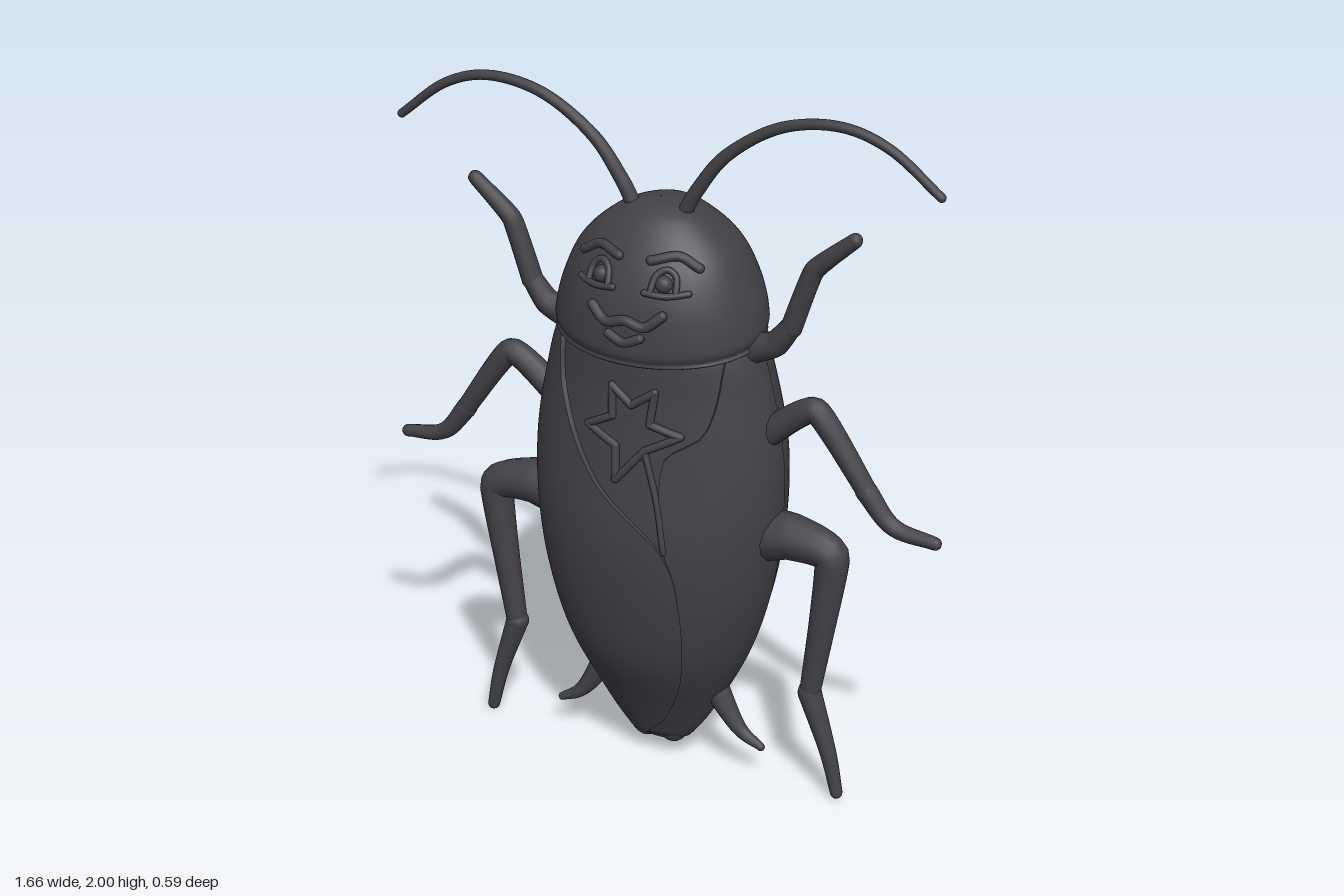
import * as THREE from 'three';
import { mergeVertices, toCreasedNormals } from 'three/addons/utils/BufferGeometryUtils.js';

const shell = new THREE.MeshStandardMaterial({ color: 0x424147, side: THREE.DoubleSide });
shell.name = 'charcoal shell';

// Smooth lookup through rows [key, v1, v2, ...] sorted by falling key
function lookup(rows, y, c) {
  const n = rows.length - 1;
  if (y >= rows[0][0]) return rows[0][c];
  if (y <= rows[n][0]) return rows[n][c];
  let i = 0;
  while (y < rows[i + 1][0]) i++;
  const slope = (k) => {
    const a = rows[Math.max(k - 1, 0)], b = rows[Math.min(k + 1, n)];
    return (b[c] - a[c]) / (b[0] - a[0]);
  };
  const [p, q] = [rows[i], rows[i + 1]], h = q[0] - p[0], s = (y - p[0]) / h;
  const s2 = s * s, s3 = s2 * s;
  return p[c] * (2 * s3 - 3 * s2 + 1) + q[c] * (3 * s2 - 2 * s3)
    + h * (slope(i) * (s3 - 2 * s2 + s) + slope(i + 1) * (s3 - s2));
}

// Profiles: y, half width, front z, back z
const ZC = 0.05;
const bodyRows = [
  [1.45, 0.2, 0.15, -0.15], [1.36, 0.275, 0.212, -0.2], [1.2, 0.323, 0.228, -0.25],
  [1.0, 0.355, 0.255, -0.285], [0.8, 0.353, 0.28, -0.288], [0.6, 0.325, 0.27, -0.262],
  [0.4, 0.265, 0.23, -0.2], [0.2, 0.165, 0.135, -0.1], [0.1, 0.1, 0.09, -0.02],
  [0.065, 0.06, 0.075, 0.02], [0.05, 0.001, 0.051, 0.049],
];
const headRows = [
  [1.72, 0.001, 0.051, 0.049], [1.71, 0.06, 0.09, -0.03], [1.68, 0.13, 0.14, -0.09],
  [1.6, 0.218, 0.205, -0.17], [1.5, 0.27, 0.255, -0.205], [1.4, 0.298, 0.272, -0.2],
  [1.365, 0.29, 0.265, -0.185], [1.345, 0.25, 0.23, -0.15], [1.34, 0.001, 0.051, 0.049],
];

// Point on a body of this profile at angle t (0 = front) and height y
function at(rows, t, y, off = 0) {
  const c = Math.cos(t);
  const depth = c > 0 ? lookup(rows, y, 2) - ZC : ZC - lookup(rows, y, 3);
  return new THREE.Vector3((lookup(rows, y, 1) + off) * Math.sin(t), y, ZC + (depth + off) * c);
}
const angle = (rows, x, y) =>
  Math.asin(THREE.MathUtils.clamp(x / Math.max(lookup(rows, y, 1), 1e-3), -1, 1));

// Grid surface, v down and u across
function grid(nv, nu, fn) {
  const pos = [], idx = [];
  for (let i = 0; i <= nv; i++) for (let j = 0; j <= nu; j++) pos.push(...fn(i / nv, j / nu).toArray());
  for (let i = 0; i < nv; i++) for (let j = 0; j < nu; j++) {
    const a = i * (nu + 1) + j, b = a + nu + 1;
    idx.push(a, b, a + 1, b, b + 1, a + 1);
  }
  const g = new THREE.BufferGeometry();
  g.setAttribute('position', new THREE.Float32BufferAttribute(pos, 3));
  g.setIndex(idx);
  return g;
}

export function createModel() {
  const model = new THREE.Group();
  model.name = 'beetle';
  const add = (name, geometry) => {
    const m = new THREE.Mesh(geometry, shell);
    m.name = name;
    model.add(m);
    return m;
  };
  const loft = (name, rows, droop) => {
    const top = rows[0][0], bottom = rows[rows.length - 1][0];
    const g = mergeVertices(grid(64, 72, (v, u) => {
      const y = (top + bottom) / 2 + (top - bottom) / 2 * Math.cos(v * Math.PI);
      const t = (u * 2 - 1) * Math.PI, p = at(rows, t, y);
      p.y -= droop * Math.cos(t) * THREE.MathUtils.smoothstep(1.6 - y, 0, 0.25);
      return p;
    }), 1e-5);
    g.computeVertexNormals();
    add(name, g);
  };
  // Raised plate whose outer rows and columns sink back into the body
  const plate = (name, y0, y1, range, off, nv = 40) => {
    const g = grid(nv, 40, (v, u) => {
      const y = THREE.MathUtils.lerp(y0, y1, v), [l, r, sag = 0] = range(y);
      const t = THREE.MathUtils.lerp(l, r, THREE.MathUtils.clamp((u * 40 - 1) / 38, 0, 1));
      const edge = u === 0 || u === 1 || v === 1;
      return at(bodyRows, t, y - sag * Math.sin(u * Math.PI), edge ? -0.008 : off(v));
    });
    add(name, toCreasedNormals(g, 0.7));
  };
  // Tapered round limb through 3D points
  const limb = (name, pts, radii, tension = 0.3) => {
    const curve = new THREE.CatmullRomCurve3(pts, false, 'catmullrom', tension);
    const n = 48, sides = 12, g = new THREE.TubeGeometry(curve, n, 1, sides);
    const p = g.attributes.position, v = new THREE.Vector3();
    const radius = (u) => {
      const s = u * (radii.length - 1), i = Math.min(Math.floor(s), radii.length - 2);
      return THREE.MathUtils.lerp(radii[i], radii[i + 1], s - i);
    };
    for (let i = 0; i <= n; i++) {
      const c = curve.getPointAt(i / n);
      for (let j = 0; j <= sides; j++) {
        const k = i * (sides + 1) + j;
        v.fromBufferAttribute(p, k).sub(c).multiplyScalar(radius(i / n)).add(c);
        p.setXYZ(k, v.x, v.y, v.z);
      }
    }
    add(name, g);
    [0, 1].forEach((u) => add(name + 'End', new THREE.SphereGeometry(radius(u), 12, 8))
      .position.copy(curve.getPointAt(u)));
  };
  // Thin raised line following the front of a surface
  const ridge = (name, rows, pts, r, tension = 0.5, off = 0) => {
    const c = new THREE.CatmullRomCurve3(pts.map(([x, y]) => new THREE.Vector3(x, y, 0)), false, 'catmullrom', tension);
    const path = c.getPoints(pts.length * 6).map((p) => at(rows, angle(rows, p.x, p.y), p.y, off));
    limb(name, path, [r, r], 0.5);
  };

  loft('body', bodyRows, 0);
  loft('head', headRows, 0.035);

  // Overlapping wing covers, leaving a recessed chest shield
  const seam = [[0.6, 0.147], [0.36, 0.127], [0.15, 0.035], [0.09, -0.02], [0.06, -0.02]];
  const rightEdge = [[1.38, -0.24], [1.18, -0.22], [0.96, -0.1], [0.79, 0.1], ...seam];
  const leftEdge = [[1.38, 0.24], [1.13, 0.2], [1.05, 0.1], [0.8, 0.112], ...seam];
  const inner = (rows, y) => angle(bodyRows, lookup(rows, y, 1), y);
  plate('rightWing', 1.38, 0.06, (y) => [-1.62, inner(rightEdge, y)], () => 0.013, 60);
  plate('leftWing', 1.38, 0.06, (y) => [inner(leftEdge, y), 1.62], () => 0.007, 60);
  for (const s of [-1, 1]) {
    const tip = add('wingTip', new THREE.SphereGeometry(1, 20, 14));
    tip.scale.set(0.05, 0.06, 0.035);
    tip.position.set(s * 0.042 - 0.005, 0.11, 0.055);
  }

  // Back plates: curved thorax folds, then stepped abdomen segments
  [[1.22, 1.08], [1.08, 0.94], [0.94, 0.76]].forEach(([a, b]) =>
    plate('thoraxFold', a, b, () => [Math.PI - 0.65, Math.PI + 0.65, -0.06], (v) => -0.004 + 0.009 * v, 8));
  for (let i = 0; i < 5; i++) {
    const y = 0.74 - i * 0.125;
    plate('abdomenSegment', y, y - 0.135, () => [Math.PI - 1.0, Math.PI + 1.0, 0.025], (v) => 0.002 + 0.013 * v, 8);
  }

  // Star wand on the chest
  const star = [[-0.06, 1.235], [0, 1.19], [0.065, 1.235], [0.055, 1.145], [0.14, 1.12], [0.045, 1.07],
    [-0.035, 0.975], [-0.04, 1.07], [-0.13, 1.11], [-0.055, 1.15]];
  star.forEach((p, i) => ridge('starEdge', bodyRows, [p, star[(i + 1) % star.length]], 0.011, 0.5, 0.004));
  ridge('wandHandle', bodyRows, [[0.045, 1.07], [0.09, 0.92], [0.112, 0.79]], 0.009, 0.5, 0.004);

  // Face
  for (const s of [-1, 1]) {
    const face = (name, pts, r) => ridge(name, headRows, pts.map(([x, y]) => [s * x, y]), r, 0.5, 0.004);
    face('eyebrow', [[0.165, 1.585], [0.11, 1.613], [0.045, 1.6]], 0.013);
    face('eyelid', [[0.125, 1.525], [0.118, 1.565], [0.092, 1.582], [0.067, 1.565], [0.06, 1.525]], 0.009);
    face('lashLine', [[0.155, 1.527], [0.1, 1.52], [0.045, 1.525]], 0.009);
    const eye = add('eye', new THREE.SphereGeometry(0.024, 14, 10));
    eye.position.copy(at(headRows, angle(headRows, s * 0.092, 1.545), 1.545, -0.006));
  }
  ridge('upperLip', headRows, [[-0.1, 1.47], [-0.055, 1.437], [0, 1.448], [0.055, 1.437], [0.1, 1.47]], 0.014, 0.5, 0.004);
  ridge('lowerLip', headRows, [[-0.045, 1.405], [0, 1.388], [0.045, 1.405]], 0.013, 0.5, 0.004);

  // Mirrored antennae, legs and tail prongs
  for (const s of [-1, 1]) {
    const part = (name, pts, radii, tension) =>
      limb(name, pts.map(([x, y]) => new THREE.Vector3(s * x, y, 0.062)), radii, tension);
    part('antenna', [[0.07, 1.68], [0.11, 1.755], [0.195, 1.865], [0.34, 1.958], [0.5, 1.985], [0.64, 1.945], [0.78, 1.84]],
      [0.021, 0.016, 0.014, 0.012], 0.5);
    part('frontThigh', [[0.27, 1.34], [0.34, 1.365], [0.39, 1.43]], [0.045, 0.035, 0.028]);
    part('frontLeg', [[0.385, 1.42], [0.445, 1.59], [0.555, 1.69]], [0.03, 0.028, 0.02], 0.2);
    part('middleLeg', [[0.32, 1.1], [0.46, 1.195], [0.615, 0.985]], [0.04, 0.034, 0.028], 0.25);
    part('middleFoot', [[0.61, 0.99], [0.69, 0.9], [0.81, 0.877]], [0.03, 0.024, 0.018], 0.5);
    part('hindLeg', [[0.32, 0.795], [0.4, 0.805], [0.52, 0.765], [0.465, 0.32]], [0.075, 0.048, 0.038, 0.03], 0.2);
    part('hindFoot', [[0.465, 0.33], [0.525, 0.15], [0.555, 0.022]], [0.034, 0.025, 0.018], 0.5);
    part('tailProng', [[0.17, 0.28], [0.25, 0.155], [0.32, 0.108]], [0.04, 0.026, 0.012], 0.5);
  }
  return model;
}
